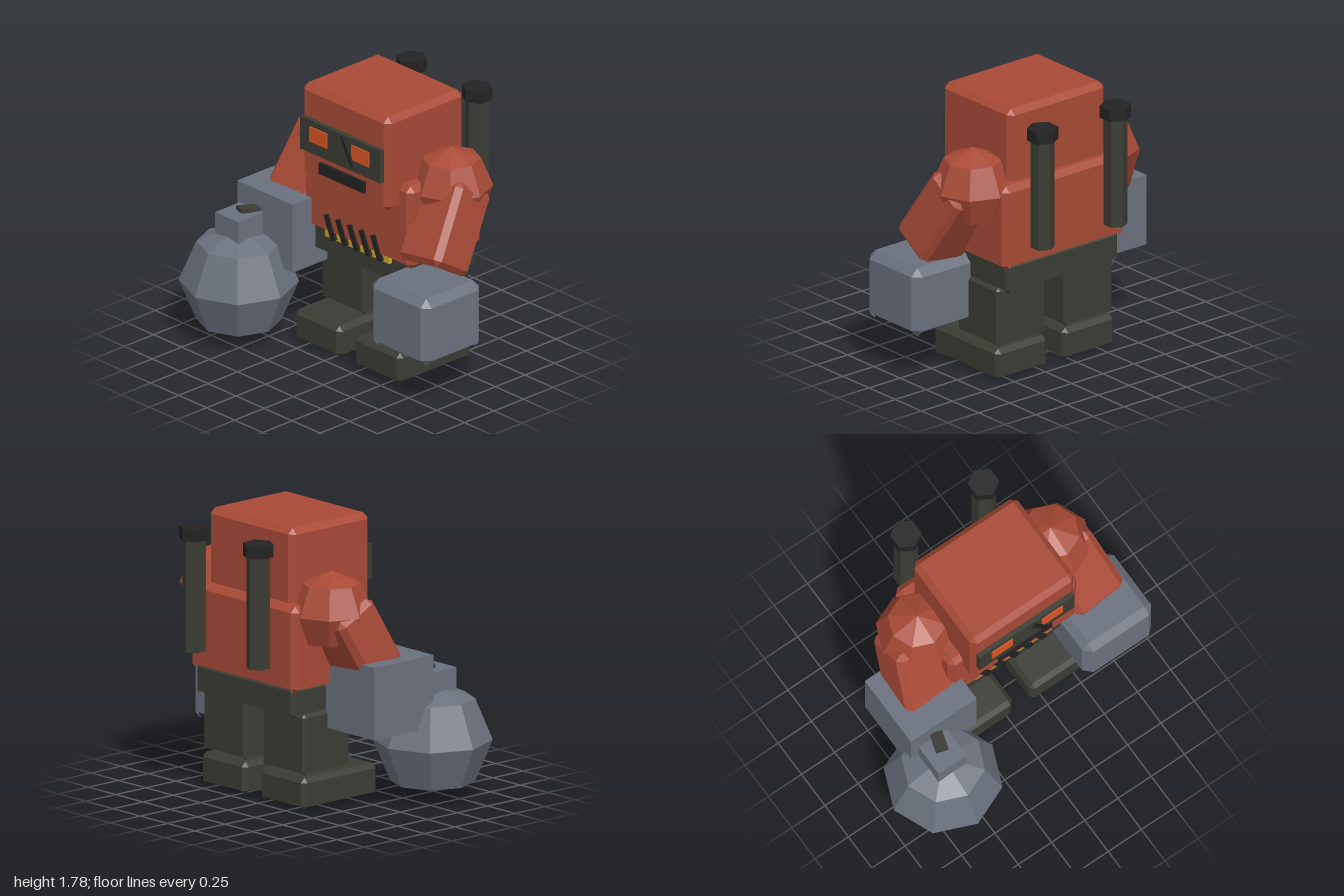
import * as THREE from 'three';
import { ConvexGeometry } from 'three/addons/geometries/ConvexGeometry.js';

const paint = (name, color) => {
  const m = new THREE.MeshStandardMaterial({ color, flatShading: true, side: THREE.DoubleSide });
  m.name = name;
  return m;
};

// Box with chamfered edges and corners
function bevelBox(w, h, d, b) {
  const pts = [];
  for (const sx of [-1, 1]) for (const sy of [-1, 1]) for (const sz of [-1, 1]) {
    const x = w / 2, y = h / 2, z = d / 2;
    pts.push(
      new THREE.Vector3(sx * x, sy * (y - b), sz * (z - b)),
      new THREE.Vector3(sx * (x - b), sy * y, sz * (z - b)),
      new THREE.Vector3(sx * (x - b), sy * (y - b), sz * z));
  }
  return new ConvexGeometry(pts);
}

// Drops the faces that point steeply down, leaving open undersides
function openUnderside(geo) {
  const src = geo.index ? geo.toNonIndexed() : geo;
  const p = src.attributes.position;
  const tri = new THREE.Triangle(), n = new THREE.Vector3(), out = [];
  for (let i = 0; i < p.count; i += 3) {
    tri.setFromAttributeAndIndices(p, i, i + 1, i + 2);
    tri.getNormal(n);
    if (n.y < -0.65) continue;
    for (const v of [tri.a, tri.b, tri.c]) out.push(v.x, v.y, v.z);
  }
  const res = new THREE.BufferGeometry();
  res.setAttribute('position', new THREE.Float32BufferAttribute(out, 3));
  res.computeVertexNormals();
  return res;
}

export function createModel() {
  const red = paint('red armour', 0xa84a36);
  const dark = paint('dark olive metal', 0x3b3c34);
  const black = paint('black', 0x232323);
  const grey = paint('steel grey', 0x6b717d);
  const orange = paint('glowing orange', 0xd95523);
  const yellow = paint('hazard yellow', 0xd2a526);

  const model = new THREE.Group();
  model.name = 'robot';
  const CX = 0.115; // body centre line

  const add = (name, geo, mat, x, y, z, turn) => {
    if (turn) geo.applyQuaternion(turn);
    geo.translate(x, y, z);
    const mesh = new THREE.Mesh(openUnderside(geo), mat);
    mesh.name = name;
    model.add(mesh);
  };
  // Block given by its limits; b = 0 gives plain edges
  const block = (name, mat, b, x0, x1, y0, y1, z0, z1) => {
    const s = [x1 - x0, y1 - y0, z1 - z0];
    add(name, b ? bevelBox(...s, b) : new THREE.BoxGeometry(...s), mat,
      (x0 + x1) / 2, (y0 + y1) / 2, (z0 + z1) / 2);
  };
  const euler = (x, y, z) => new THREE.Quaternion().setFromEuler(new THREE.Euler(x, y, z));

  // Body
  block('head', red, 0.037, -0.275, 0.505, 1.145, 1.78, -0.465, 0.195);
  block('torso', red, 0.037, -0.37, 0.6, 0.75, 1.31, -0.53, 0.092);
  block('waist', dark, 0.025, -0.335, 0.565, 0.59, 0.79, -0.51, 0.055);

  // Legs and feet
  for (const s of [-1, 1]) {
    const side = s < 0 ? 'right' : 'left';
    const lx = CX + s * 0.27;
    block(side + 'Leg', dark, 0.02, lx - 0.195, lx + 0.195, 0.22, 0.61, -0.435, -0.045);
    block(side + 'Foot', dark, 0.03, lx - 0.207, lx + 0.207, 0, 0.21, -0.445, 0.175);
  }

  // Shoulders and exhaust pipes
  for (const s of [-1, 1]) {
    const side = s < 0 ? 'right' : 'left';
    add(side + 'Shoulder', new THREE.SphereGeometry(0.26, 8, 4), red, CX + s * 0.5, 1.245, -0.24);
    const px = CX + s * 0.2925;
    add(side + 'Pipe', new THREE.CylinderGeometry(0.075, 0.075, 0.74, 6), dark, px, 1.29, -0.658);
    add(side + 'PipeCap', new THREE.CylinderGeometry(0.098, 0.098, 0.08, 6), black, px, 1.67, -0.658);
  }

  // Upper arms, slanting forward from the shoulders
  const arm = (name, from, to) => {
    const a = new THREE.Vector3(...from), b = new THREE.Vector3(...to);
    const dir = b.clone().sub(a);
    const len = dir.length();
    const turn = new THREE.Quaternion().setFromUnitVectors(new THREE.Vector3(0, -1, 0), dir.normalize());
    const c = a.add(b).multiplyScalar(0.5);
    add(name, bevelBox(0.36, len, 0.32, 0.037), red, c.x, c.y, c.z, turn);
  };
  arm('leftArm', [0.665, 1.27, -0.245], [0.74, 0.81, 0.04]);
  arm('rightArm', [-0.45, 1.27, -0.245], [-0.52, 0.82, -0.015]);

  // Hands
  block('leftFist', grey, 0.05, 0.48, 1, 0.295, 0.75, -0.157, 0.34);
  block('rightFist', grey, 0, -0.78, -0.285, 0.5, 0.96, -0.24, 0.25);

  // Bomb with neck and fuse
  add('bomb', new THREE.SphereGeometry(0.371, 8, 4), grey, -0.629, 0.376, 0.38);
  block('bombNeck', grey, 0, -0.734, -0.525, 0.66, 0.835, 0.272, 0.482);
  add('fuse', new THREE.BoxGeometry(0.08, 0.025, 0.13), dark, -0.613, 0.846, 0.315, euler(-0.1, -0.3, 0));

  // Face
  block('visor', dark, 0, -0.245, 0.47, 1.35, 1.57, 0.19, 0.226);
  block('rightEye', orange, 0, -0.155, 0, 1.43, 1.53, 0.226, 0.235);
  block('leftEye', orange, 0, 0.222, 0.377, 1.43, 1.53, 0.226, 0.235);
  add('scar', new THREE.BoxGeometry(0.025, 0.2, 0.015), black, 0.195, 1.482, 0.243, euler(0, 0, 0.5));
  block('mouth', black, 0, -0.09, 0.31, 1.225, 1.3, 0.19, 0.214);

  // Hazard strip along the belly
  block('hazardStrip', yellow, 0, -0.175, 0.4, 0.735, 0.895, 0.06, 0.082);
  for (let i = 0; i < 5; i++) {
    add('hazardBar', new THREE.BoxGeometry(0.042, 0.17, 0.02), black,
      -0.114 + i * 0.104, 0.815, 0.092, euler(0, 0, 0.4));
  }
  return model;
}
